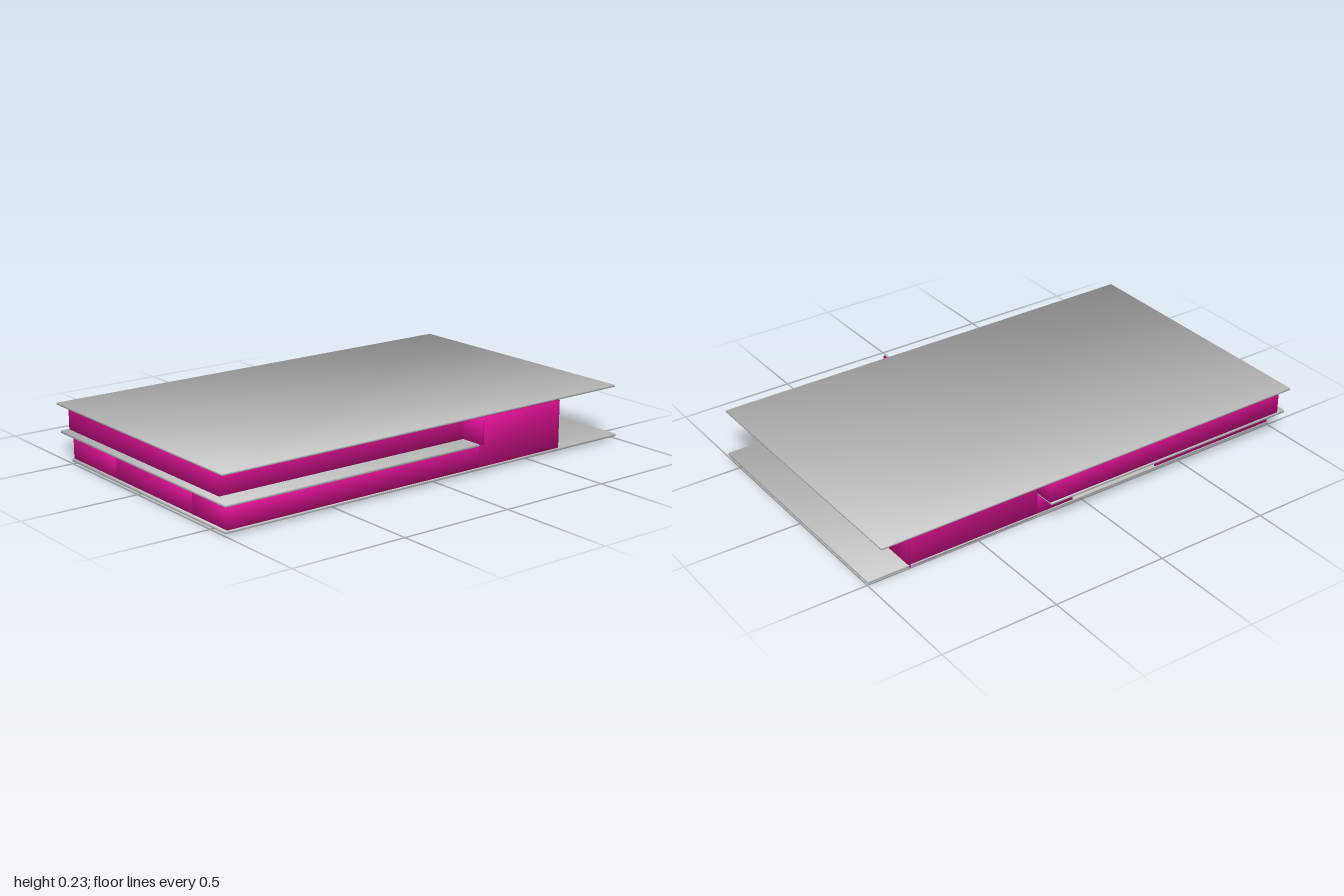
import * as THREE from 'three';

const grey = new THREE.MeshStandardMaterial({ color: 0xcccccc });
const magenta = new THREE.MeshStandardMaterial({ color: 0xd81090 });
const T = 0.008; // wall thickness

// Box between two corners, with smooth normals pointing out of its corners
function block(name, material, [x0, x1], [y0, y1], [z0, z1]) {
  const geo = new THREE.BoxGeometry(x1 - x0, y1 - y0, z1 - z0);
  const p = geo.attributes.position, k = 1 / Math.sqrt(3);
  for (let i = 0; i < p.count; i++) {
    geo.attributes.normal.setXYZ(i,
      Math.sign(p.getX(i)) * k, Math.sign(p.getY(i)) * k, Math.sign(p.getZ(i)) * k);
  }
  const mesh = new THREE.Mesh(geo, material);
  mesh.name = name;
  mesh.position.set((x0 + x1) / 2, (y0 + y1) / 2, (z0 + z1) / 2);
  return mesh;
}

// Walls running along x or along z
const wallX = (name, x0, x1, z, y) =>
  block(name, magenta, [x0, x1], y, [z - T / 2, z + T / 2]);
const wallZ = (name, x, z0, z1, y) =>
  block(name, magenta, [x - T / 2, x + T / 2], y, [z0, z1]);

export function createModel() {
  const model = new THREE.Group();
  model.name = 'house';
  const lower = [0.02, 0.108], upper = [0.118, 0.225], full = [0.008, 0.225];

  // Floor, storey and roof slabs
  model.add(
    block('floorSlab', grey, [-1, 1], [0.01, 0.02], [-0.505, 0.6]),
    block('upperFloorSlab', grey, [-0.997, 0.222], [0.108, 0.118], [-0.595, 0.597]),
    block('roofSlab', grey, [-1, 1], [0.224, 0.232], [-0.615, 0.585]),
  );

  // Lower storey walls, with an opening at the back
  model.add(
    wallX('lowerFrontWall', -0.985, 0.222, 0.591, lower),
    wallX('lowerBackWallRight', 0.05, 0.222, -0.5, lower),
    wallX('lowerBackWallLeft', -0.985, -0.375, -0.5, lower),
  );
  for (const [z0, z1] of [[-0.505, -0.17], [-0.17, 0.37], [0.37, 0.595]]) {
    model.add(wallZ('lowerSideWall', -0.986, z0, z1, lower));
  }

  // Upper storey walls
  model.add(
    wallX('upperFrontWall', -0.96, 0.222, 0.5, upper),
    wallX('upperBackWall', -0.96, 0.222, -0.587, upper),
    wallZ('upperOuterSideWall', -0.957, -0.59, 0.504, upper),
    wallZ('upperInnerSideWall', 0.222, -0.59, 0.617, upper),
  );

  // Double-height hall walls, with a doorway at the side
  model.add(
    wallX('hallFrontWall', 0.222, 0.662, 0.591, full),
    wallZ('doorwayFrontWall', 0.66, 0.49, 0.595, full),
    wallZ('doorwayBackWall', 0.66, 0.3, 0.4, full),
    wallX('hallStepWall', 0.66, 0.82, 0.3, full),
    wallZ('hallSideWallFront', 0.818, 0.03, 0.3, [0, 0.225]),
    wallZ('hallSideWallBack', 0.818, -0.505, 0.03, full),
    wallX('hallBackWall', 0.222, 0.82, -0.5, full),
    wallX('partitionWall', 0.54, 0.82, 0.03, [0, 0.225]),
  );
  return model;
}
